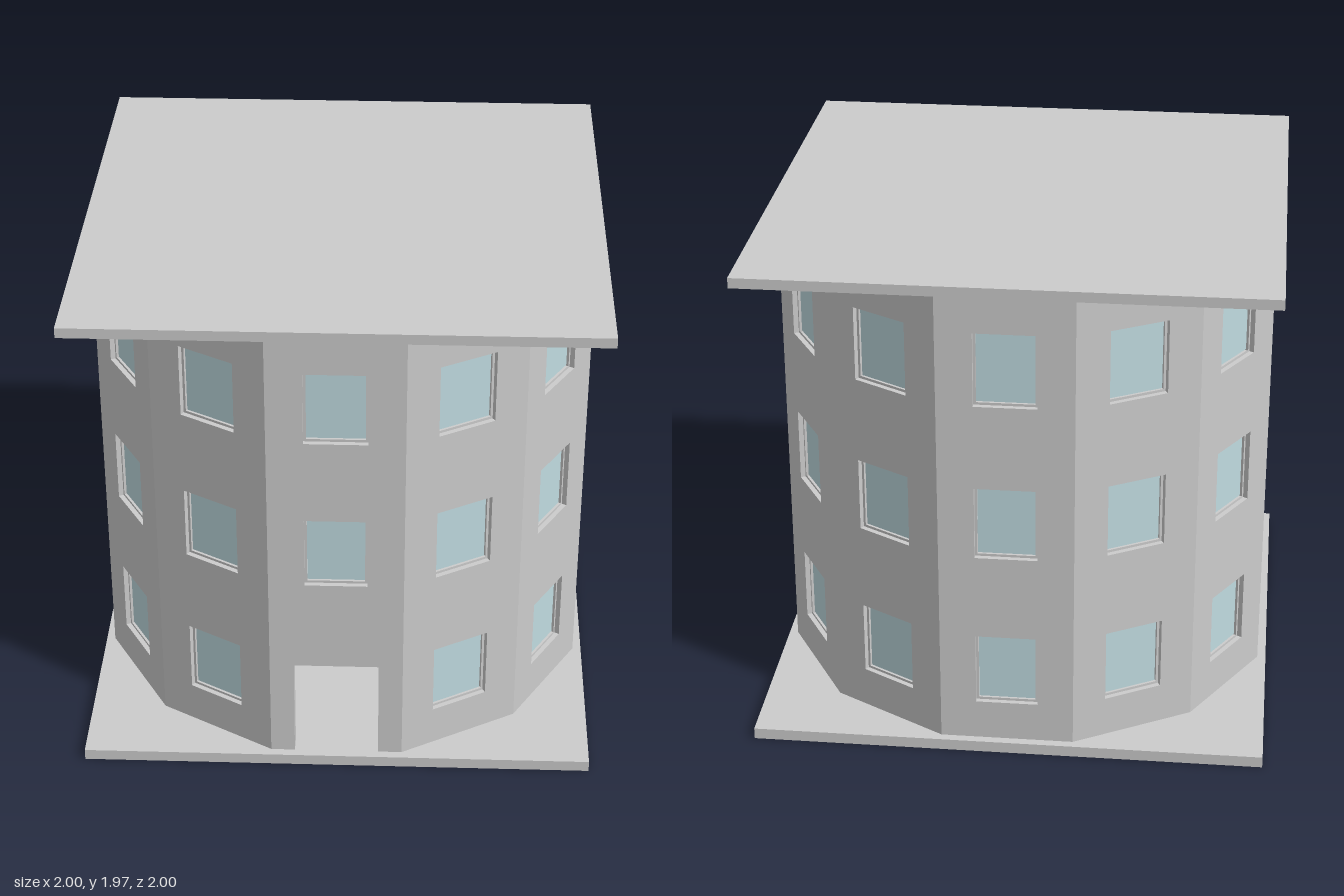
import * as THREE from 'three';

const SIDES = 12, APOTHEM = 0.966, WALL = 0.07;
const BASE = 0.045, TOP = 1.93, HEIGHT = 1.97;
const WIN_W = 0.24, WIN_H = 0.295, FRAME = 0.01;
const WIN_Y = [0.355, 0.995, 1.63];
const DOOR_HALF = 0.165, DOOR_TOP = 0.465;
const HALF = APOTHEM * Math.tan(Math.PI / SIDES);

const grey = new THREE.MeshStandardMaterial({ color: 0xcccccc, flatShading: true });
const glass = new THREE.MeshStandardMaterial({ color: 0xc0dbe0 });

function add(parent, name, geometry, material, x, y, z) {
  const mesh = new THREE.Mesh(geometry, material);
  mesh.name = name;
  mesh.position.set(x, y, z);
  parent.add(mesh);
  return mesh;
}

function rect(target, w, h, y) {
  target.moveTo(-w / 2, y - h / 2);
  target.lineTo(-w / 2, y + h / 2);
  target.lineTo(w / 2, y + h / 2);
  target.lineTo(w / 2, y - h / 2);
  target.closePath();
  return target;
}

// One wall panel with window holes, mitred where it meets its neighbours
function wallGeometry(windowYs, hasDoor) {
  const shape = new THREE.Shape();
  shape.moveTo(-HALF, BASE);
  if (hasDoor) {
    shape.lineTo(-DOOR_HALF, BASE);
    shape.lineTo(-DOOR_HALF, DOOR_TOP);
    shape.lineTo(DOOR_HALF, DOOR_TOP);
    shape.lineTo(DOOR_HALF, BASE);
  }
  shape.lineTo(HALF, BASE);
  shape.lineTo(HALF, TOP);
  shape.lineTo(-HALF, TOP);
  shape.closePath();
  for (const y of windowYs) shape.holes.push(rect(new THREE.Path(), WIN_W, WIN_H, y));

  const geometry = new THREE.ExtrudeGeometry(shape, { depth: WALL, bevelEnabled: false });
  geometry.translate(0, 0, -WALL);
  const p = geometry.attributes.position;
  const inset = WALL * Math.tan(Math.PI / SIDES);
  for (let i = 0; i < p.count; i++) {
    const x = p.getX(i);
    if (p.getZ(i) < -WALL / 2 && Math.abs(x) > HALF - 1e-4) p.setX(i, x - Math.sign(x) * inset);
  }
  geometry.computeVertexNormals();
  return geometry;
}

export function createModel() {
  const model = new THREE.Group();
  model.name = 'roundBuilding';

  // Square ground slab and flat roof
  add(model, 'groundSlab', new THREE.BoxGeometry(2, BASE, 2), grey, 0, BASE / 2, 0);
  add(model, 'roofSlab', new THREE.BoxGeometry(2, HEIGHT - TOP, 2), grey, 0, (HEIGHT + TOP) / 2, 0);

  // Shared window parts
  const ring = rect(new THREE.Shape(), WIN_W, WIN_H, 0);
  ring.holes.push(rect(new THREE.Path(), WIN_W - 2 * FRAME, WIN_H - 2 * FRAME, 0));
  const frameGeometry = new THREE.ExtrudeGeometry(ring, { depth: 0.03, bevelEnabled: false });
  const paneGeometry = new THREE.BoxGeometry(WIN_W - 2 * FRAME, WIN_H - 2 * FRAME, 0.01);

  // Twelve hollow wall sides, the front one with an open doorway
  const plainWall = wallGeometry(WIN_Y, false);
  const doorWall = wallGeometry(WIN_Y.slice(1), true);
  for (let i = 0; i < SIDES; i++) {
    const side = new THREE.Group();
    side.name = i === 0 ? 'doorSide' : 'wallSide';
    side.rotation.y = (i / SIDES) * Math.PI * 2;
    model.add(side);
    add(side, 'wall', i === 0 ? doorWall : plainWall, grey, 0, 0, APOTHEM);
    for (const y of i === 0 ? WIN_Y.slice(1) : WIN_Y) {
      add(side, 'windowFrame', frameGeometry, grey, 0, y, APOTHEM - 0.05);
      add(side, 'windowPane', paneGeometry, glass, 0, y, APOTHEM - 0.035);
    }
  }
  return model;
}
